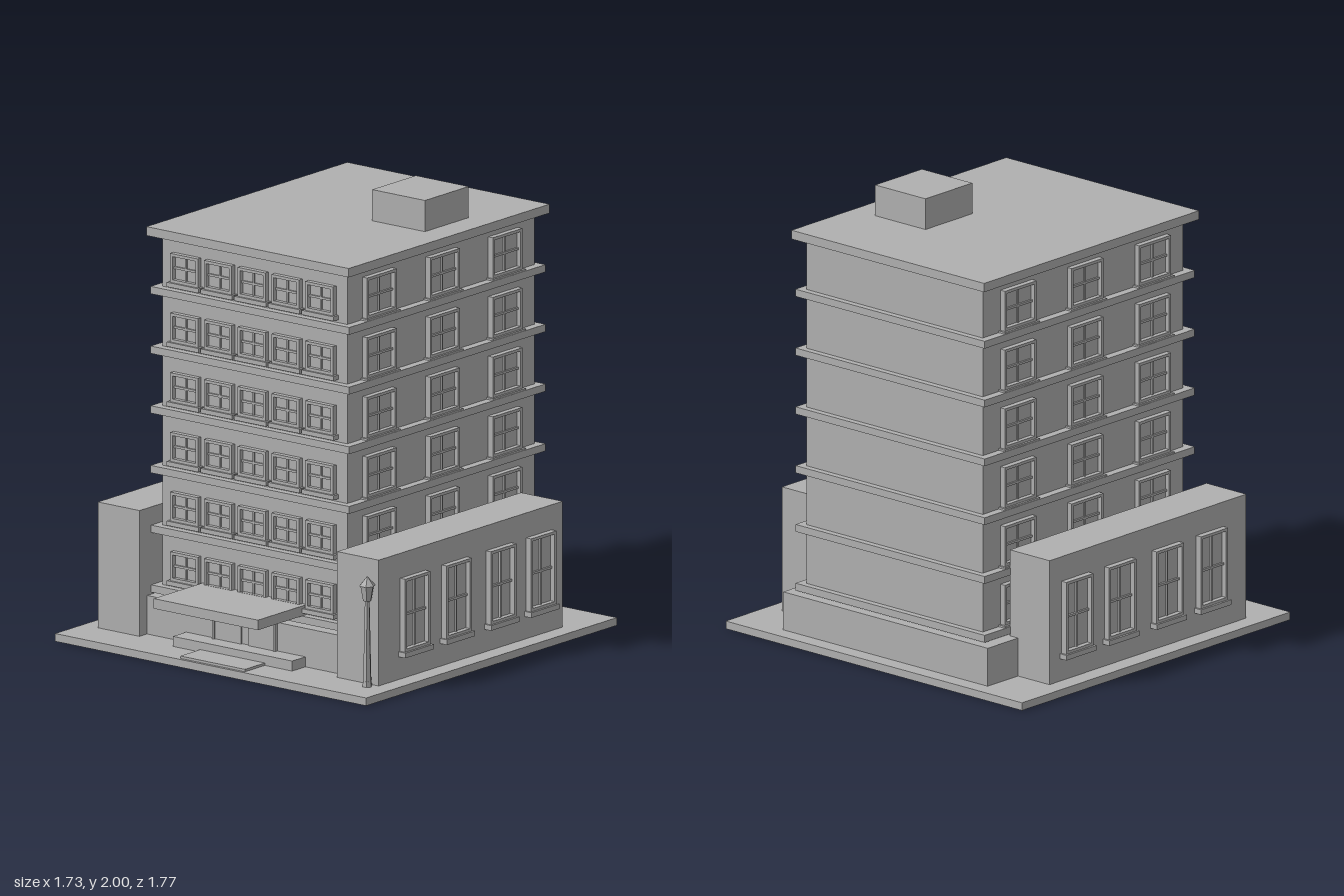
import * as THREE from 'three';

const stone = new THREE.MeshStandardMaterial({ color: 0xb0b0b0 });
stone.name = 'grey stone';

// Box given by its min and max on each axis
function box(parent, name, x0, x1, y0, y1, z0, z1) {
  const mesh = new THREE.Mesh(new THREE.BoxGeometry(x1 - x0, y1 - y0, z1 - z0), stone);
  mesh.position.set((x0 + x1) / 2, (y0 + y1) / 2, (z0 + z1) / 2);
  mesh.name = name;
  parent.add(mesh);
  return mesh;
}

// Framed window facing +z, standing on y = 0, with its back on z = 0
function makeWindow(w, h, depth, sillH, sillOver) {
  const g = new THREE.Group();
  g.name = 'window';
  const t = 0.013, a = w / 2;

  const shape = new THREE.Shape([[-a, 0], [a, 0], [a, h], [-a, h]].map(p => new THREE.Vector2(...p)));
  const hole = [[-a + t, t], [-a + t, h - t], [a - t, h - t], [a - t, t]];
  shape.holes.push(new THREE.Path(hole.map(p => new THREE.Vector2(...p))));
  const frame = new THREE.Mesh(new THREE.ExtrudeGeometry(shape, { depth, bevelEnabled: false }), stone);
  frame.name = 'windowFrame';
  g.add(frame);

  box(g, 'windowPane', -a + t, a - t, t, h - t, 0, 0.004);
  box(g, 'sashRail', -a + t, a - t, h * 0.5 - 0.005, h * 0.5 + 0.005, 0, depth * 0.5);
  box(g, 'mullion', -0.004, 0.004, t, h - t, 0, depth * 0.45);
  box(g, 'windowSill', -a - sillOver, a + sillOver, -sillH, 0, 0, depth + 0.01);
  return g;
}

// Place a window on the front, or on the side given by its sign
function addWindow(parent, win, x, y, z, side = 0) {
  win.position.set(x, y, z);
  win.rotation.y = side * Math.PI / 2;
  parent.add(win);
}

function makeTower() {
  const g = new THREE.Group();
  g.name = 'tower';
  box(g, 'towerWalls', -0.515, 0.515, 0.2, 1.82, -0.75, 0.545);
  box(g, 'roofSlab', -0.563, 0.563, 1.82, 1.86, -0.795, 0.596);
  box(g, 'roofHut', 0.138, 0.432, 1.86, 2, -0.398, -0.095);

  // Six storeys, each with a ledge below its windows
  for (let i = 0; i < 6; i++) {
    const y = 0.25 + i * 0.268;
    box(g, 'floorLedge', -0.553, 0.553, y - 0.033, y, -0.78, 0.58);
    for (let k = -2; k <= 2; k++) {
      addWindow(g, makeWindow(0.154, 0.13, 0.024, 0.02, 0.012), k * 0.188, y + 0.033, 0.545);
    }
    for (const s of [-1, 1]) {
      for (const z of [0.337, -0.1, -0.533]) {
        addWindow(g, makeWindow(0.206, 0.183, 0.026, 0.023, 0.011), s * 0.515, y + 0.008, z, s);
      }
    }
  }
  return g;
}

function makeEntrance() {
  const g = new THREE.Group();
  g.name = 'entrance';
  box(g, 'canopy', -0.29, 0.29, 0.25, 0.295, 0.54, 0.885);
  box(g, 'upperStep', -0.332, 0.332, 0.035, 0.08, 0.6, 0.7);
  box(g, 'lowerStep', -0.18, 0.18, 0.035, 0.046, 0.69, 0.838);
  box(g, 'doorHead', -0.175, 0.175, 0.215, 0.25, 0.54, 0.625);
  for (const s of [-1, 1]) {
    box(g, 'doorPanel', s * 0.094 - 0.074, s * 0.094 + 0.074, 0.08, 0.245, 0.608, 0.617);
    box(g, 'doorJamb', s * 0.17 - 0.006, s * 0.17 + 0.006, 0.08, 0.245, 0.608, 0.625);
  }
  return g;
}

function makeWing(s) {
  const g = new THREE.Group();
  g.name = s > 0 ? 'leftWing' : 'rightWing';
  box(g, 'wingWalls', s > 0 ? 0.55 : -0.782, s > 0 ? 0.782 : -0.55, 0.035, 0.6, -0.614, 0.66);
  for (const z of [0.424, 0.137, -0.17, -0.448]) {
    addWindow(g, makeWindow(0.176, 0.328, 0.028, 0.023, 0.01), s * 0.782, 0.16, z, s);
  }
  return g;
}

// Six-sided street lamp
function makeLamp() {
  const g = new THREE.Group();
  g.name = 'streetLamp';
  const stack = [
    ['lampBase', 0.02, 0.022, 0.035, 0.06],
    ['lampPost', 0.011, 0.019, 0.06, 0.42],
    ['lantern', 0.032, 0.019, 0.42, 0.49],
    ['lanternCap', 0.003, 0.037, 0.488, 0.527],
  ];
  for (const [name, top, bottom, y0, y1] of stack) {
    const geo = new THREE.CylinderGeometry(top, bottom, y1 - y0, 6).toNonIndexed();
    geo.computeVertexNormals();
    const mesh = new THREE.Mesh(geo, stone);
    mesh.position.y = (y0 + y1) / 2;
    mesh.rotation.y = Math.PI / 6;
    mesh.name = name;
    g.add(mesh);
  }
  g.position.set(0.747, 0, 0.696);
  return g;
}

export function createModel() {
  const model = new THREE.Group();
  model.name = 'officeBuilding';
  box(model, 'groundSlab', -0.866, 0.866, 0, 0.035, -0.885, 0.852);
  box(model, 'groundFloor', -0.598, 0.598, 0.035, 0.208, -0.81, 0.608);
  model.add(makeTower(), makeEntrance(), makeWing(1), makeWing(-1), makeLamp());
  return model;
}
